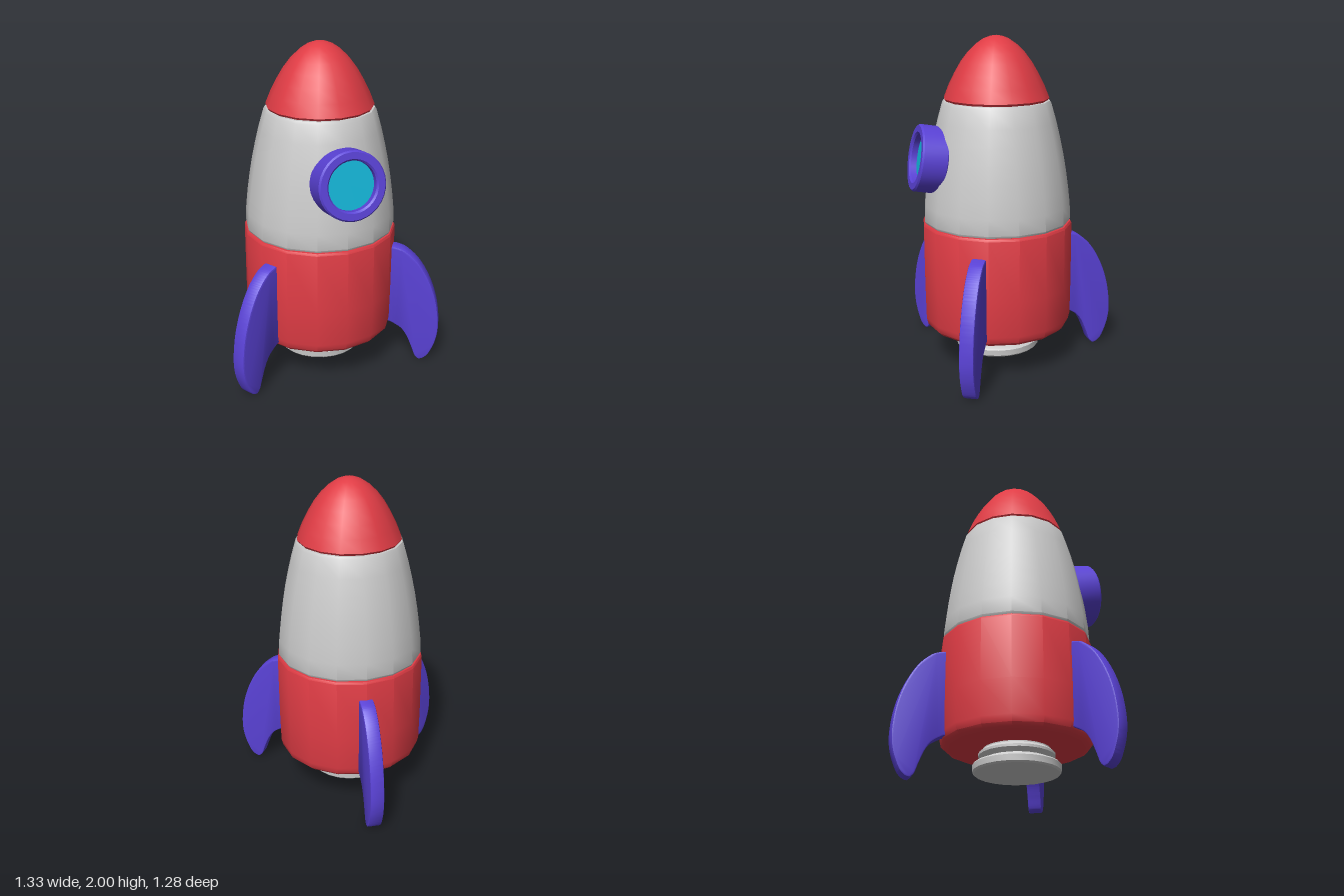
import * as THREE from 'three';
import { toCreasedNormals } from 'three/addons/utils/BufferGeometryUtils.js';

const RED = 0xe03c45, PURPLE = 0x5a42d6, CYAN = 0x12b5d8, GREY = 0xcccccc;
const AXIS_Z = 0.11; // the hull sits forward of centre because of the rear fin

function part(name, geometry, color, crease = 0.6) {
  const mesh = new THREE.Mesh(
    toCreasedNormals(geometry, crease),
    new THREE.MeshStandardMaterial({ color })
  );
  mesh.name = name;
  return mesh;
}

// Revolves [radius, height] pairs, listed from bottom to top
function turned(name, profile, color, sides = 16) {
  const points = profile.map(([r, y]) => new THREE.Vector2(r, y));
  return part(name, new THREE.LatheGeometry(points, sides), color);
}

function createPorthole() {
  const porthole = new THREE.Group();
  porthole.name = 'porthole';
  // Local z = 0 is the front rim
  const rim = turned('portholeRim', [
    [0.14, -0.16], [0.188, -0.16], [0.199, -0.15], [0.199, -0.01],
    [0.19, 0], [0.152, 0], [0.142, -0.01], [0.14, -0.16],
  ], PURPLE, 32);
  rim.rotation.x = Math.PI / 2;
  const glass = part('portholeGlass', new THREE.CircleGeometry(0.145, 32), CYAN);
  glass.position.z = -0.045;
  porthole.add(rim, glass);
  porthole.position.set(0.004, 1.303, 0.61);
  porthole.rotation.x = THREE.MathUtils.degToRad(-10);
  return porthole;
}

// Swept fin outline: x is the distance from the hull axis
function finGeometry() {
  const outline = new THREE.Shape();
  outline.moveTo(0.43, 0.77);
  outline.lineTo(0.465, 0.77);
  outline.splineThru([
    [0.53, 0.745], [0.61, 0.67], [0.68, 0.55], [0.727, 0.41], [0.747, 0.26],
    [0.737, 0.15], [0.7, 0.05], [0.665, 0.01], [0.635, 0],
  ].map(([x, y]) => new THREE.Vector2(x, y)));
  outline.splineThru([
    [0.61, 0.025], [0.585, 0.09], [0.555, 0.16], [0.515, 0.215], [0.45, 0.255],
  ].map(([x, y]) => new THREE.Vector2(x, y)));
  outline.lineTo(0.43, 0.26);
  outline.closePath();
  const geometry = new THREE.ExtrudeGeometry(outline, {
    depth: 0.065, curveSegments: 20,
    bevelEnabled: true, bevelThickness: 0.01, bevelSize: 0.01, bevelOffset: -0.01, bevelSegments: 2,
  });
  return geometry.translate(0, 0, -0.0325);
}

export function createModel() {
  const rocket = new THREE.Group();
  rocket.name = 'rocket';

  const hull = new THREE.Group();
  hull.name = 'hull';
  hull.position.z = AXIS_Z;
  rocket.add(hull);

  hull.add(turned('engineNozzle', [
    [0, 0.08], [0.248, 0.08], [0.258, 0.09], [0.26, 0.125], [0.25, 0.135],
    [0.212, 0.145], [0.205, 0.155], [0.225, 0.18], [0.225, 0.195], [0.2, 0.215], [0.2, 0.24],
  ], GREY, 24));

  hull.add(turned('lowerHull', [
    [0, 0.222], [0.395, 0.222], [0.425, 0.23], [0.445, 0.25], [0.454, 0.29],
    [0.457, 0.5], [0.457, 0.875], [0.45, 0.888], [0, 0.888],
  ], RED));

  hull.add(turned('upperHull', [
    [0.42, 0.885], [0.442, 0.892], [0.449, 0.905], [0.444, 1.0], [0.433, 1.1], [0.419, 1.2],
    [0.402, 1.3], [0.381, 1.4], [0.357, 1.5], [0.327, 1.605], [0.318, 1.62], [0, 1.62],
  ], GREY));

  hull.add(turned('noseCone', [
    [0, 1.622], [0.306, 1.622], [0.315, 1.635], [0.285, 1.71], [0.25, 1.78], [0.21, 1.848],
    [0.168, 1.903], [0.122, 1.948], [0.075, 1.98], [0.035, 1.995], [0, 2],
  ], RED));

  // Three fins, one straight back and two forward
  const fin = finGeometry();
  [['rearFin', 90], ['leftFin', -30], ['rightFin', 210]].forEach(([name, angle]) => {
    const mesh = part(name, fin, PURPLE);
    mesh.rotation.y = THREE.MathUtils.degToRad(angle);
    mesh.position.x = 0.004;
    hull.add(mesh);
  });

  rocket.add(createPorthole());
  return rocket;
}
